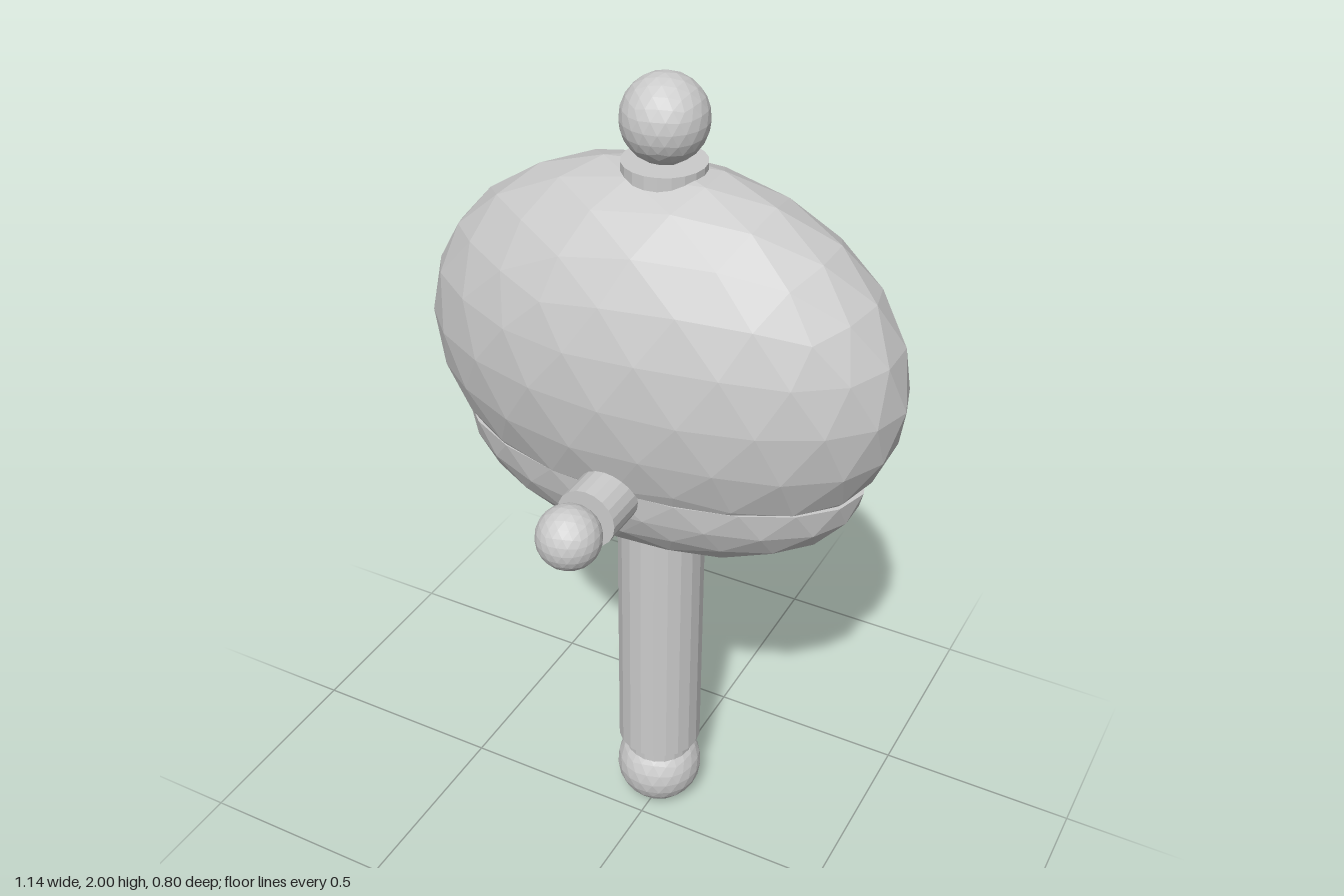
import * as THREE from 'three';

const material = new THREE.MeshStandardMaterial({ color: 0xcccccc, flatShading: true });
const AXIS_Z = -0.1; // depth of the vertical axis

// Faceted sphere with a vertex at each pole and a row of vertices on the equator
function facetedSphere(rx, ry, rz) {
  const geometry = new THREE.IcosahedronGeometry(1, 3);
  geometry.rotateX(-Math.atan((1 + Math.sqrt(5)) / 2));
  geometry.rotateY(-Math.PI / 2);
  geometry.scale(rx, ry, rz);
  geometry.computeVertexNormals();
  return geometry;
}

// Lower half of a faceted sphere, closed by a flat top
function facetedBowl(rx, ry, rz) {
  const geometry = facetedSphere(rx, ry, rz);
  const position = geometry.attributes.position;
  for (let i = 0; i < position.count; i++) {
    position.setY(i, Math.min(position.getY(i), 0));
  }
  geometry.computeVertexNormals();
  return geometry;
}

export function createModel() {
  const model = new THREE.Group();
  model.name = 'model';

  const add = (name, geometry, y, z = AXIS_Z) => {
    const mesh = new THREE.Mesh(geometry, material);
    mesh.name = name;
    mesh.position.set(0, y, z);
    model.add(mesh);
    return mesh;
  };
  const ball = (name, radius, y, z) => add(name, facetedSphere(radius, radius, radius), y, z);
  const post = (name, radius, bottom, top) =>
    add(name, new THREE.CylinderGeometry(radius, radius, top - bottom, 20), (bottom + top) / 2);

  // Body: tall dome resting in a shallow bowl
  add('dome', facetedSphere(0.57, 0.44, 0.3), 1.37);
  add('bowl', facetedBowl(0.495, 0.255, 0.252), 1.14, -0.097);

  // Top knob on its collar
  post('topCollar', 0.092, 1.72, 1.815);
  ball('topBall', 0.095, 1.905);

  // Stem with a ball foot
  post('stem', 0.105, 0.22, 1.0);
  post('footCollar', 0.085, 0.18, 0.24);
  ball('footBall', 0.109, 0.114);

  // Front knob on a short horizontal peg
  const peg = add('frontPeg', new THREE.CylinderGeometry(0.07, 0.07, 0.2, 20), 1.13, 0.155);
  peg.rotation.x = Math.PI / 2;
  ball('frontBall', 0.073, 1.13, 0.327);

  return model;
}
